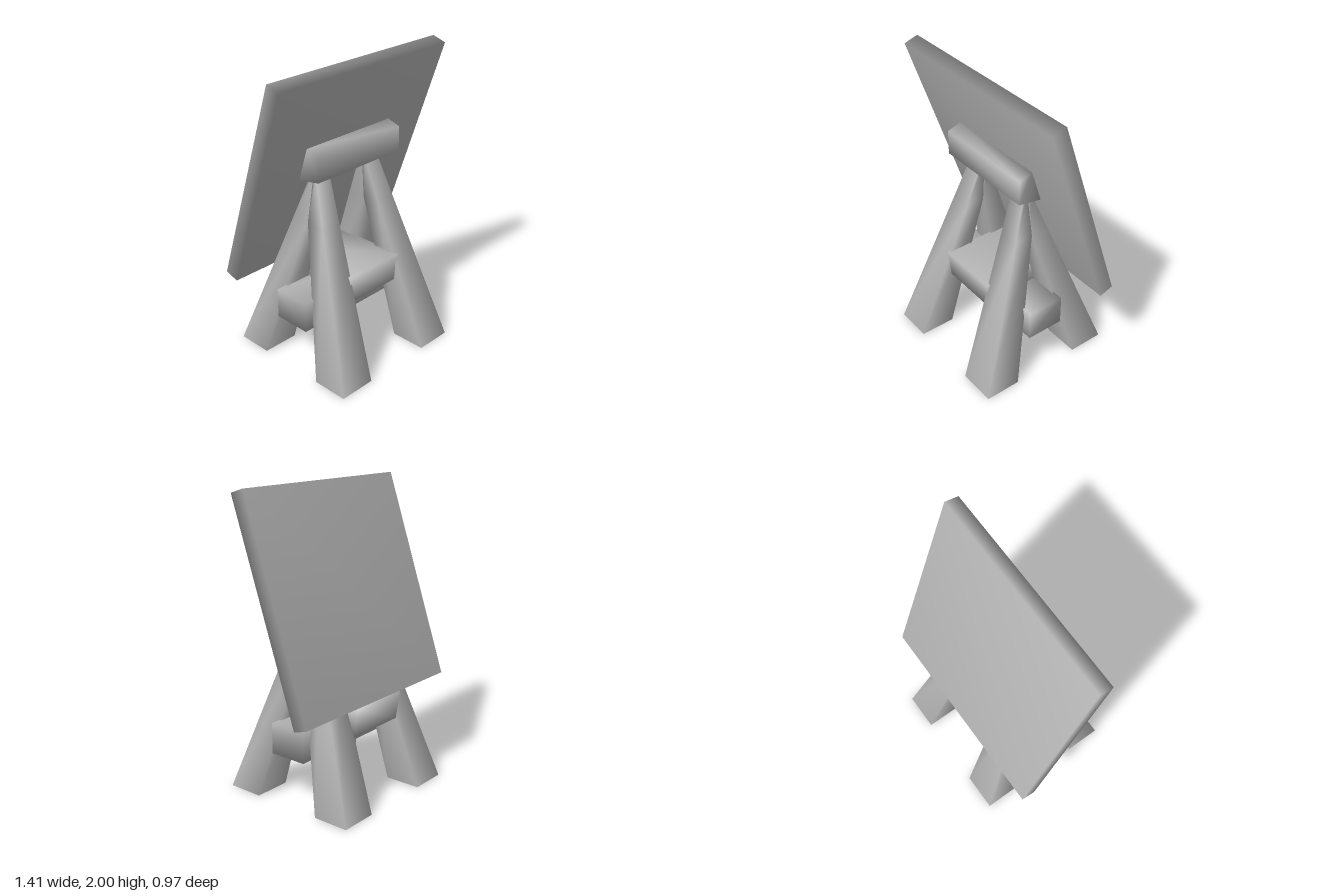
import * as THREE from 'three';

const grey = new THREE.MeshStandardMaterial({ color: 0xb4b4b4, side: THREE.DoubleSide });
grey.name = 'plain grey';

// Joins rings of [x, y, z] points into a smooth shell, with optional quad end caps
function loft(name, rings, capped) {
  const n = rings[0].length;
  const index = [];
  for (let i = 0; i < rings.length - 1; i++) {
    for (let j = 0; j < n; j++) {
      const a = i * n + j, b = i * n + (j + 1) % n;
      index.push(a, b, b + n, a, b + n, a + n);
    }
  }
  if (capped) {
    const k = (rings.length - 1) * n;
    index.push(0, 2, 1, 0, 3, 2, k, k + 1, k + 2, k, k + 2, k + 3);
  }
  const geometry = new THREE.BufferGeometry();
  geometry.setAttribute('position', new THREE.Float32BufferAttribute(rings.flat(2), 3));
  geometry.setIndex(index);
  geometry.computeVertexNormals();
  const mesh = new THREE.Mesh(geometry, grey);
  mesh.name = name;
  return mesh;
}

// Solid bar running across x, from a side profile of [z, y] points
const bar = (name, halfWidth, profile) =>
  loft(name, [-halfWidth, halfWidth].map(x => profile.map(([z, y]) => [x, y, z])), true);

// Hollow tapering leg, open at the foot; each pair meets at the middle near the top
function leg(name, sx, sz) {
  const sections = [
    // y, inner x, outer x, inner z, outer z
    [0, 0.25, 0.505, 0.24, 0.485],
    [1.0, 0.18, 0.325, 0, 0.127],
    [1.3, 0.16, 0.27, 0, 0.022],
  ];
  const rings = sections.map(([y, xi, xo, zi, zo]) => {
    const ring = [[xi, zi], [xi, zo], [xo, zo], [xo, zi]].map(([x, z]) => [sx * x, y, sz * z]);
    return sx * sz < 0 ? ring.reverse() : ring;
  });
  return loft(name, rings, false);
}

export function createModel() {
  const group = new THREE.Group();
  group.name = 'tiltedPanelStand';

  // Tilted panel
  group.add(bar('panel', 0.705, [[0.105, 2.0], [0.2, 1.97], [-0.26, 0.63], [-0.355, 0.66]]));
  // Block joining the leg tops to the panel
  group.add(bar('topBracket', 0.36, [[0.04, 1.51], [0.135, 1.48], [0.135, 1.315], [-0.03, 1.285]]));
  // Brace from side to side
  group.add(bar('sideBrace', 0.483, [[-0.13, 0.525], [0.13, 0.525], [0.13, 0.32], [-0.13, 0.32]]));
  // Brace from front to back, under the panel's lower edge
  group.add(bar('lengthBrace', 0.22, [[-0.35, 0.66], [0.275, 0.66], [0.25, 0.46], [-0.32, 0.46]]));

  // Four splayed legs
  for (const sx of [1, -1]) {
    for (const sz of [1, -1]) {
      group.add(leg((sz > 0 ? 'front' : 'back') + (sx > 0 ? 'Left' : 'Right') + 'Leg', sx, sz));
    }
  }
  return group;
}
